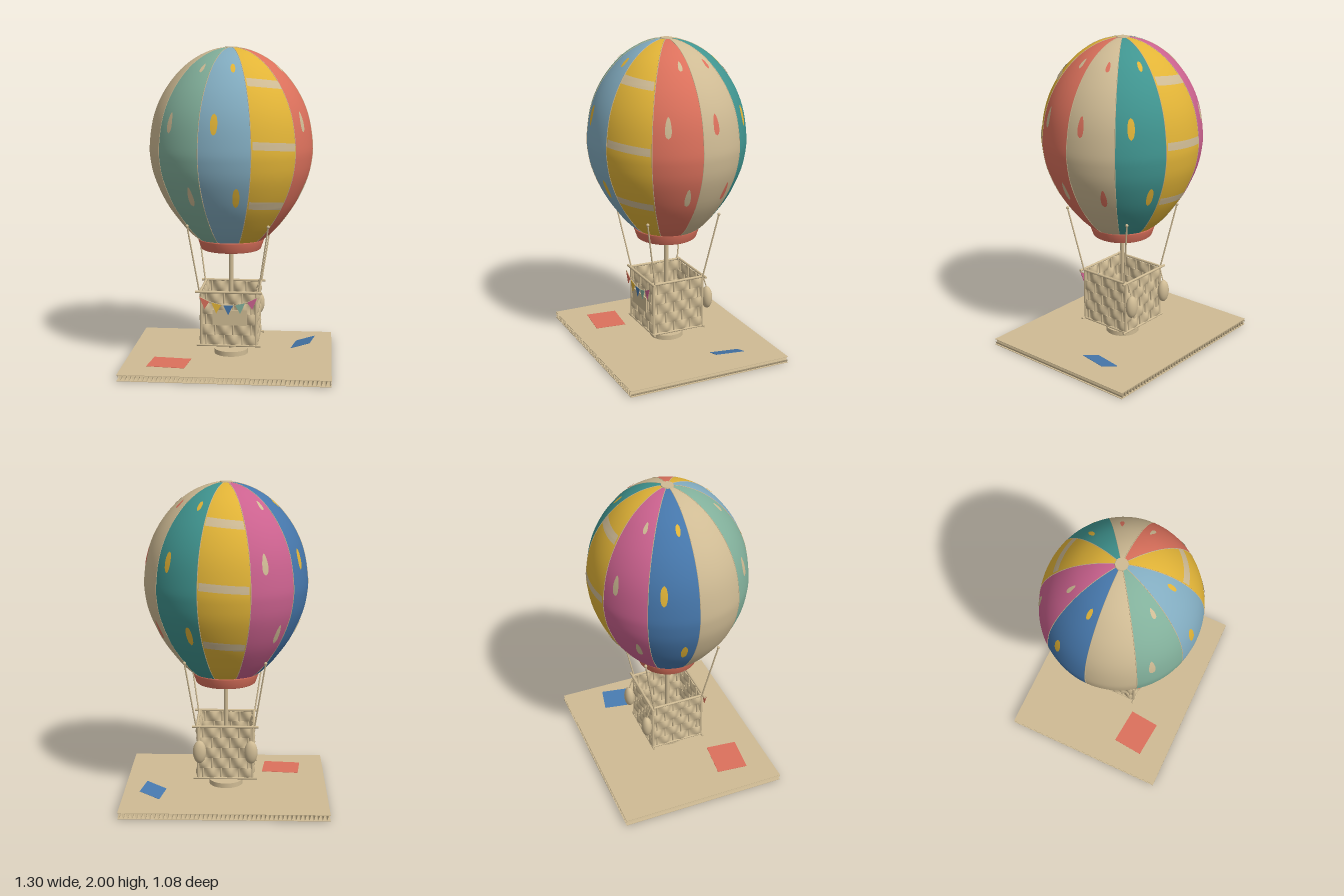
import * as THREE from 'three';

const PI = Math.PI;
const deg = PI / 180;

function makeMaterials() {
  const colors = {
    cream: 0xcfbb94, coral: 0xdc715c, yellow: 0xe2b437, lightBlue: 0x82acc0, sage: 0x82b09b,
    blue: 0x4677ab, pink: 0xcc628f, teal: 0x409590,
  };
  const mats = {};
  for (const [name, color] of Object.entries(colors)) {
    mats[name] = new THREE.MeshStandardMaterial({ color, side: THREE.DoubleSide });
    mats[name].name = name;
  }
  return mats;
}

// Envelope profile, bottom to top
const profile = new THREE.SplineCurve([
  [0.2, 0.785], [0.255, 0.83], [0.318, 0.9], [0.41, 1.03], [0.482, 1.19], [0.508, 1.31], [0.511, 1.4], [0.492, 1.54],
  [0.452, 1.66], [0.385, 1.775], [0.285, 1.885], [0.172, 1.957], [0.07, 1.99], [0.004, 1.995],
].map(([x, y]) => new THREE.Vector2(x, y))).getPoints(48);

function radiusAt(y) {
  let i = 1;
  while (i < profile.length - 1 && profile[i].y < y) i++;
  const a = profile[i - 1], b = profile[i];
  return a.x + (b.x - a.x) * (y - a.y) / (b.y - a.y);
}

export function createModel() {
  const model = new THREE.Group();
  model.name = 'hotAirBalloon';
  const M = makeMaterials();

  const group = (name, parent = model) => {
    const g = new THREE.Group();
    g.name = name;
    parent.add(g);
    return g;
  };
  const add = (parent, name, geo, mat, x = 0, y = 0, z = 0) => {
    const m = new THREE.Mesh(geo, mat);
    m.name = name;
    m.position.set(x, y, z);
    parent.add(m);
    return m;
  };
  // Straight round bar between two points
  const bar = (parent, name, a, b, r, mat = M.cream) => {
    const p = new THREE.Vector3(...a), q = new THREE.Vector3(...b);
    const m = add(parent, name, new THREE.CylinderGeometry(r, r, p.distanceTo(q), 10), mat);
    m.position.copy(p).lerp(q, 0.5);
    m.quaternion.setFromUnitVectors(new THREE.Vector3(0, 1, 0), q.sub(p).normalize());
    return m;
  };

  // ---- Envelope: ten gores with painted spots or bands ----
  const envelope = group('envelope');
  envelope.scale.z = 0.965;

  // Thin patch that follows the envelope; shape(v) gives the relative width at height v in -1..1
  const patch = (name, mat, angle, y, halfW, halfH, shape, tilt = 0) => {
    const geo = new THREE.PlaneGeometry(2, 2, 8, 12);
    const pos = geo.attributes.position;
    for (let i = 0; i < pos.count; i++) {
      const u = pos.getX(i), v = pos.getY(i);
      const py = y + v * halfH - u * tilt;
      const r = radiusAt(py);
      const a = angle - u * shape(v) * halfW(r);
      pos.setXYZ(i, (r + 0.004) * Math.cos(a), py + (y > 1.7 ? 0.003 : 0), (r + 0.004) * Math.sin(a));
    }
    geo.computeVertexNormals();
    add(envelope, name, geo, mat);
  };
  const oval = (v) => Math.sqrt(Math.max(0, 1 - v * v));
  const pear = (v) => oval(v) * (0.88 - 0.3 * v);

  const gores = [
    ['coral', 'cream'], ['yellow', null], ['lightBlue', 'yellow'], ['sage', 'cream'], ['cream', null],
    ['blue', 'yellow'], ['pink', 'cream'], ['yellow', null], ['teal', 'yellow'], ['cream', 'coral'],
  ];
  const step = 36 * deg;
  gores.forEach(([color, spot], i) => {
    const start = i * step, mid = start + step / 2;
    add(envelope, 'gore', new THREE.LatheGeometry(profile, 10, PI / 2 - start - step, step), M[color]);
    if (spot) {
      const shape = spot === 'yellow' ? oval : pear;
      for (const [off, y, w, h] of [[7, 1.55, 0.022, 0.064], [-8.5, 1.11, 0.021, 0.062], [-7, 1.87, 0.014, 0.026]])
        patch('spot', M[spot], mid + off * deg, y, (r) => w / r, h, shape);
    } else if (color === 'yellow') {
      for (const y of [1.78, 1.415, 1.05])
        patch('band', M.cream, mid, y, () => step * 0.47, 0.024, () => 1, 0.011);
    }
    // Stitched seam
    const pts = profile.filter((_, k) => k % 3 === 0)
      .map((p) => new THREE.Vector3(p.x * Math.cos(start), p.y, p.x * Math.sin(start)));
    add(envelope, 'seam', new THREE.TubeGeometry(new THREE.CatmullRomCurve3(pts), 40, 0.0025, 5), M.cream);
  });
  add(envelope, 'crownCap', new THREE.CylinderGeometry(0.038, 0.042, 0.012, 24), M.cream, 0, 1.994, 0);

  // Mouth ring
  const ring = [[0.188, 0.795], [0.174, 0.73], [0.182, 0.725], [0.19, 0.73], [0.21, 0.787], [0.205, 0.795], [0.188, 0.795]]
    .map(([x, y]) => new THREE.Vector2(x, y));
  add(model, 'mouthRing', new THREE.LatheGeometry(ring, 40), M.coral);

  // ---- Stand ----
  const stand = group('stand');
  add(stand, 'pole', new THREE.CylinderGeometry(0.014, 0.014, 0.76, 16), M.cream, 0, 0.43, 0);
  add(stand, 'foot', new THREE.CylinderGeometry(0.108, 0.108, 0.032, 36), M.cream, 0, 0.055, 0);

  // Corrugated board: two sheets with a wavy layer between
  const board = group('board');
  for (const y of [0.0015, 0.0385]) add(board, 'sheet', new THREE.BoxGeometry(1.296, 0.003, 1.08), M.cream, 0, y, 0);
  const waves = 48;
  const flute = new THREE.PlaneGeometry(1.29, 1.08, waves * 8, 1).rotateX(-PI / 2);
  const fp = flute.attributes.position;
  for (let i = 0; i < fp.count; i++) fp.setY(i, 0.02 + 0.016 * Math.sin((fp.getX(i) / 1.29) * waves * 2 * PI));
  flute.computeVertexNormals();
  add(board, 'flutedLayer', flute, M.cream);

  // Loose cards on the board
  const coralCard = add(model, 'coralCard', new THREE.BoxGeometry(0.24, 0.002, 0.2), M.coral, -0.365, 0.046, 0.281);
  coralCard.rotation.y = -0.1;
  const blueCard = add(model, 'blueCard', new THREE.BoxGeometry(0.225, 0.002, 0.185), M.blue, 0.416, 0.046, -0.212);
  blueCard.rotation.set(0, -0.17, 0.33, 'YXZ');

  // ---- Basket ----
  const basket = group('basket');
  const half = 0.172, low = 0.135, high = 0.472, rows = 5, cell = 0.057;
  const rowH = (high - low) / rows;
  for (let s = 0; s < 4; s++) {
    const side = group('wovenSide', basket);
    side.rotation.y = s * PI / 2;
    for (let r = 0; r < rows; r++) {
      const strip = new THREE.BoxGeometry(half * 2, rowH, 0.005, 36, 6, 1);
      const p = strip.attributes.position;
      for (let i = 0; i < p.count; i++) {
        const bulge = 1 - 0.75 * (2 * p.getY(i) / rowH) ** 2;
        p.setZ(i, p.getZ(i) + 0.015 * bulge * Math.sin(PI * p.getX(i) / cell + r * PI));
      }
      strip.computeVertexNormals();
      add(side, 'weaver', strip, M.cream, 0, low + (r + 0.5) * rowH, half);
    }
    for (let k = -3; k < 3; k++)
      add(side, 'stake', new THREE.CylinderGeometry(0.006, 0.006, high - low, 8), M.cream, (k + 0.5) * cell, (low + high) / 2, half);
    // Rails and corner post; the front and back rails overhang further
    const reach = s % 2 ? 0.185 : 0.21;
    bar(side, 'topRail', [-reach, 0.478, half + 0.008], [reach, 0.478, half + 0.008], 0.008);
    bar(side, 'bottomRail', [-reach + 0.008, low, half + 0.004], [reach - 0.008, low, half + 0.004], 0.007);
    bar(side, 'cornerPost', [half, 0.13, half], [half, 0.485, half], 0.009);
  }
  add(basket, 'floor', new THREE.BoxGeometry(half * 2, 0.012, half * 2), M.cream, 0, low, 0);
  add(basket, 'namePlate', new THREE.BoxGeometry(0.215, 0.098, 0.008), M.cream, 0.008, 0.32, 0.196);

  // Suspension ropes with their toggles
  for (const sx of [-1, 1]) for (const sz of [-1, 1]) {
    bar(basket, 'rope', [sx * 0.185, 0.475, sz * 0.168], [sx * 0.25, 0.905, sz * 0.245], 0.005);
    add(basket, 'toggle', new THREE.SphereGeometry(0.01, 12, 8), M.cream, sx * 0.25, 0.908, sz * 0.245);
  }

  // Sandbags on the back
  for (const x of [-0.162, 0.162]) {
    add(basket, 'sandbag', new THREE.SphereGeometry(1, 24, 16), M.cream, x, 0.322, -0.212).scale.set(0.042, 0.074, 0.034);
    bar(basket, 'sandbagCord', [x, 0.39, -0.21], [x, 0.478, -0.182], 0.004);
  }

  // ---- Bunting ----
  const bunting = group('bunting');
  const sag = (x) => 0.4 + 1.6 * x * x;
  const line = [];
  for (let i = -4; i <= 4; i++) line.push(new THREE.Vector3(i * 0.046, sag(i * 0.046), 0.203));
  add(bunting, 'string', new THREE.TubeGeometry(new THREE.CatmullRomCurve3(line), 32, 0.003, 6), M.cream);
  ['coral', 'yellow', 'blue', 'sage', 'pink'].forEach((color, i) => {
    const x = (i - 2) * 0.075;
    const flag = new THREE.Shape();
    flag.moveTo(x - 0.031, sag(x - 0.031));
    flag.lineTo(x, sag(x) - 0.06);
    flag.lineTo(x + 0.031, sag(x + 0.031));
    add(bunting, 'flag', new THREE.ExtrudeGeometry(flag, { depth: 0.004, bevelEnabled: false }), M[color], 0, 0, 0.203);
  });

  return model;
}
